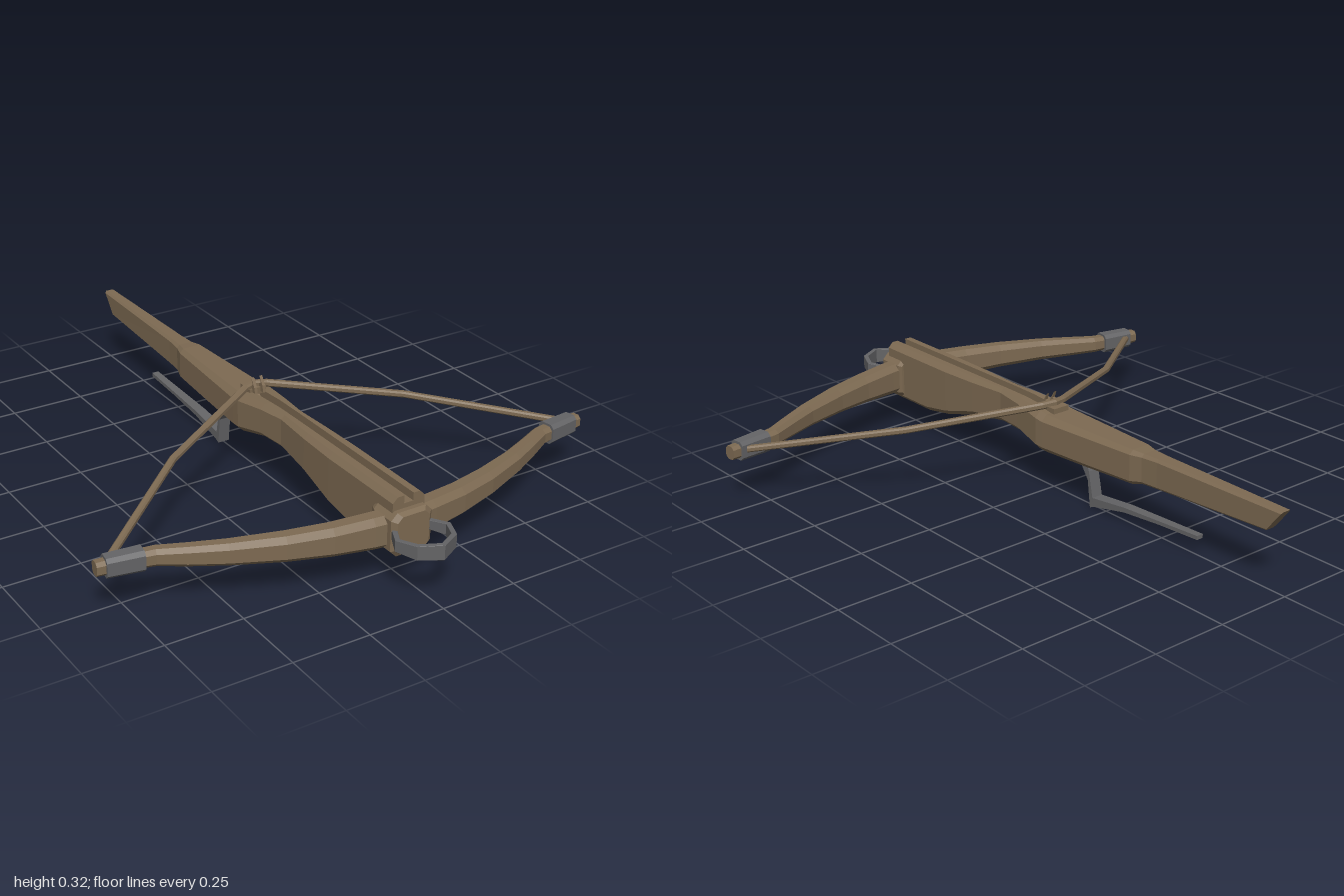
import * as THREE from 'three';

const wood = new THREE.MeshStandardMaterial({ color: 0x7d6a52, flatShading: true });
wood.name = 'wood';
const metal = new THREE.MeshStandardMaterial({ color: 0x646466, flatShading: true });
metal.name = 'metal';

// Skin a closed solid over rings of equal point count; outline is the 2D shape used to cap the ends
function loft(rings, outline) {
  const n = rings[0].length, pos = [], tris = [];
  rings.forEach(r => r.forEach(p => pos.push(p.x, p.y, p.z)));
  for (let i = 0; i < rings.length - 1; i++) {
    for (let j = 0; j < n; j++) {
      const a = i * n + j, b = i * n + (j + 1) % n;
      tris.push([a, b, a + n], [b, b + n, a + n]);
    }
  }
  const last = (rings.length - 1) * n;
  const cw = THREE.ShapeUtils.isClockWise(outline);
  THREE.ShapeUtils.triangulateShape(outline, []).forEach(([a, b, c]) => {
    if (cw !== THREE.ShapeUtils.isClockWise([outline[a], outline[b], outline[c]])) [b, c] = [c, b];
    tris.push([a, c, b], [last + a, last + b, last + c]);
  });
  // turn the faces outward
  const v = i => new THREE.Vector3().fromArray(pos, i * 3);
  const volume = tris.reduce((s, [a, b, c]) => s + v(a).dot(v(b).cross(v(c))), 0);
  if (volume < 0) tris.forEach(t => t.reverse());
  const g = new THREE.BufferGeometry();
  g.setAttribute('position', new THREE.Float32BufferAttribute(pos, 3));
  g.setIndex(tris.flat());
  const flat = g.toNonIndexed();
  flat.computeVertexNormals();
  return flat;
}

// Rectangle with cut corners
function cutRect(w, h, cut) {
  const c = Math.min(w, h) * cut;
  return [[w, -h + c], [w, h - c], [w - c, h], [-w + c, h], [-w, h - c], [-w, -h + c], [-w + c, -h], [w - c, -h]]
    .map(([x, y]) => new THREE.Vector2(x, y));
}

// Sweep a cut rectangle along rows of [x, y, z, halfWidth, halfHeight], keeping its height vertical
function sweep(rows, cut) {
  const pts = rows.map(r => new THREE.Vector3(r[0], r[1], r[2]));
  const rings = rows.map((r, i) => {
    const t = pts[Math.min(i + 1, pts.length - 1)].clone().sub(pts[Math.max(i - 1, 0)]);
    const side = new THREE.Vector3(t.z, 0, -t.x).normalize();
    return cutRect(r[3], r[4], cut).map(q => {
      const p = pts[i].clone().addScaledVector(side, q.x);
      p.y += q.y;
      return p;
    });
  });
  return loft(rings, cutRect(rows[0][3], rows[0][4], cut));
}

// Extend rows given for x >= 0 (first row at x = 0) to the other side
const mirrorRows = rows => [...rows.slice(1).reverse().map(([x, ...r]) => [-x, ...r]), ...rows];

// Stock: rows of [z, bottom, top, halfWidth, grooveDepth, endSlant]
function stockGeometry() {
  const rows = [
    [0.82, 0.09, 0.28, 0.055, 0.025, 0], [0.61, 0.09, 0.28, 0.055, 0.025, 0],
    [0.5, 0.108, 0.28, 0.055, 0.025, 0], [0.36, 0.148, 0.28, 0.05, 0.025, 0],
    [0.22, 0.168, 0.28, 0.041, 0.025, 0], [0.12, 0.167, 0.279, 0.053, 0.025, 0],
    [0.01, 0.142, 0.272, 0.069, 0.025, 0], [-0.02, 0.14, 0.267, 0.068, 0, 0],
    [-0.2, 0.145, 0.266, 0.057, 0, 0], [-0.4, 0.153, 0.265, 0.045, 0, 0],
    [-0.44, 0.163, 0.262, 0.033, 0, 0], [-0.5, 0.165, 0.262, 0.028, 0, 0],
    [-0.93, 0.186, 0.262, 0.019, 0, 0.06]
  ];
  const section = ([, b, t, w, g]) => {
    const c = w * 0.3, k = Math.min(0.016, w * 0.4);
    const half = [[k, t - g], [k, t], [w - c, t], [w, t - c], [w, b + c], [w - c, b]];
    return [...half, ...half.map(([x, y]) => [-x, y]).reverse()].map(p => new THREE.Vector2(...p));
  };
  const rings = rows.map(r => section(r).map(p =>
    new THREE.Vector3(p.x, p.y, r[0] - r[5] * (p.y - r[1]) / (r[2] - r[1]))));
  return loft(rings, section(rows[0]));
}

export function createModel() {
  const model = new THREE.Group();
  const add = (name, geometry, material, parent = model) => {
    const mesh = new THREE.Mesh(geometry, material);
    mesh.name = name;
    parent.add(mesh);
    return mesh;
  };

  add('stock', stockGeometry(), wood);

  // Block that holds the bow at the front of the stock
  add('bowMount', sweep([
    [0, 0.17, 0.735, 0.062, 0.066], [0, 0.17, 0.75, 0.07, 0.07],
    [0, 0.17, 0.835, 0.07, 0.07], [0, 0.17, 0.848, 0.055, 0.06]
  ], 0.3), wood);

  // Curved bow, tapering to the tips
  add('bow', sweep(mirrorRows([
    [0, 0.17, 0.79, 0.037, 0.053], [0.1, 0.17, 0.778, 0.037, 0.051],
    [0.22, 0.17, 0.757, 0.036, 0.046], [0.35, 0.171, 0.722, 0.034, 0.041],
    [0.5, 0.172, 0.667, 0.029, 0.035], [0.6, 0.172, 0.62, 0.026, 0.031],
    [0.68, 0.173, 0.58, 0.024, 0.027], [0.77, 0.173, 0.562, 0.022, 0.024],
    [0.853, 0.173, 0.553, 0.02, 0.022]
  ]), 0.5), wood);

  // Metal sleeves near the tips
  for (const s of [1, -1]) {
    add(s > 0 ? 'leftSleeve' : 'rightSleeve', sweep([
      [s * 0.715, 0.173, 0.572, 0.03, 0.033], [s * 0.825, 0.173, 0.556, 0.027, 0.031]
    ], 0.4), metal);
  }

  // Drawn bowstring
  add('string', sweep(mirrorRows([
    [0, 0.29, -0.003, 0.011, 0.011], [0.04, 0.287, 0.008, 0.011, 0.011],
    [0.42, 0.238, 0.22, 0.011, 0.01], [0.8, 0.178, 0.535, 0.011, 0.01]
  ]), 0.5), wood);

  // Nut with two prongs that catch the string
  const nut = new THREE.Group();
  nut.name = 'nut';
  model.add(nut);
  add('nutBase', new THREE.BoxGeometry(0.06, 0.022, 0.055), wood, nut).position.set(0, 0.273, -0.008);
  const prong = new THREE.Shape([[0.035, 0.27], [0.03, 0.292], [0.012, 0.32], [0.02, 0.298], [-0.015, 0.28], [-0.015, 0.27]]
    .map(p => new THREE.Vector2(...p)));
  for (const x of [-0.015, 0.015]) {
    const g = new THREE.ExtrudeGeometry(prong, { depth: 0.01, bevelEnabled: false });
    g.rotateY(-Math.PI / 2).translate(x + 0.005, 0, 0);
    add('nutProng', g, wood, nut);
  }

  // Long trigger lever under the stock
  const lever = new THREE.Shape([[-0.14, 0.155], [-0.175, 0.155], [-0.19, 0.12], [-0.207, 0.036], [-0.35, 0.052],
    [-0.66, 0.068], [-0.66, 0.055], [-0.5, 0.048], [-0.35, 0.036], [-0.215, 0.008], [-0.196, 0], [-0.185, 0.09]]
    .map(p => new THREE.Vector2(...p)));
  const leverGeometry = new THREE.ExtrudeGeometry(lever, { depth: 0.04, bevelEnabled: false });
  leverGeometry.rotateY(-Math.PI / 2).translate(0.02, 0, 0);
  // narrow toward the tip
  const p = leverGeometry.attributes.position;
  for (let i = 0; i < p.count; i++) p.setX(i, p.getX(i) * (1 + Math.min(0, p.getZ(i) + 0.2) * 0.9));
  // swing the extrusion so the profile's first axis lies along z
  leverGeometry.computeVertexNormals();
  add('triggerLever', leverGeometry, metal);

  // Foot stirrup, widest at its front
  add('stirrup', sweep(mirrorRows([
    [0, 0.177, 0.985, 0.008, 0.024], [0.062, 0.177, 0.952, 0.008, 0.022],
    [0.088, 0.177, 0.892, 0.008, 0.018], [0.058, 0.177, 0.835, 0.008, 0.014]
  ]), 0.1), metal);

  return model;
}
